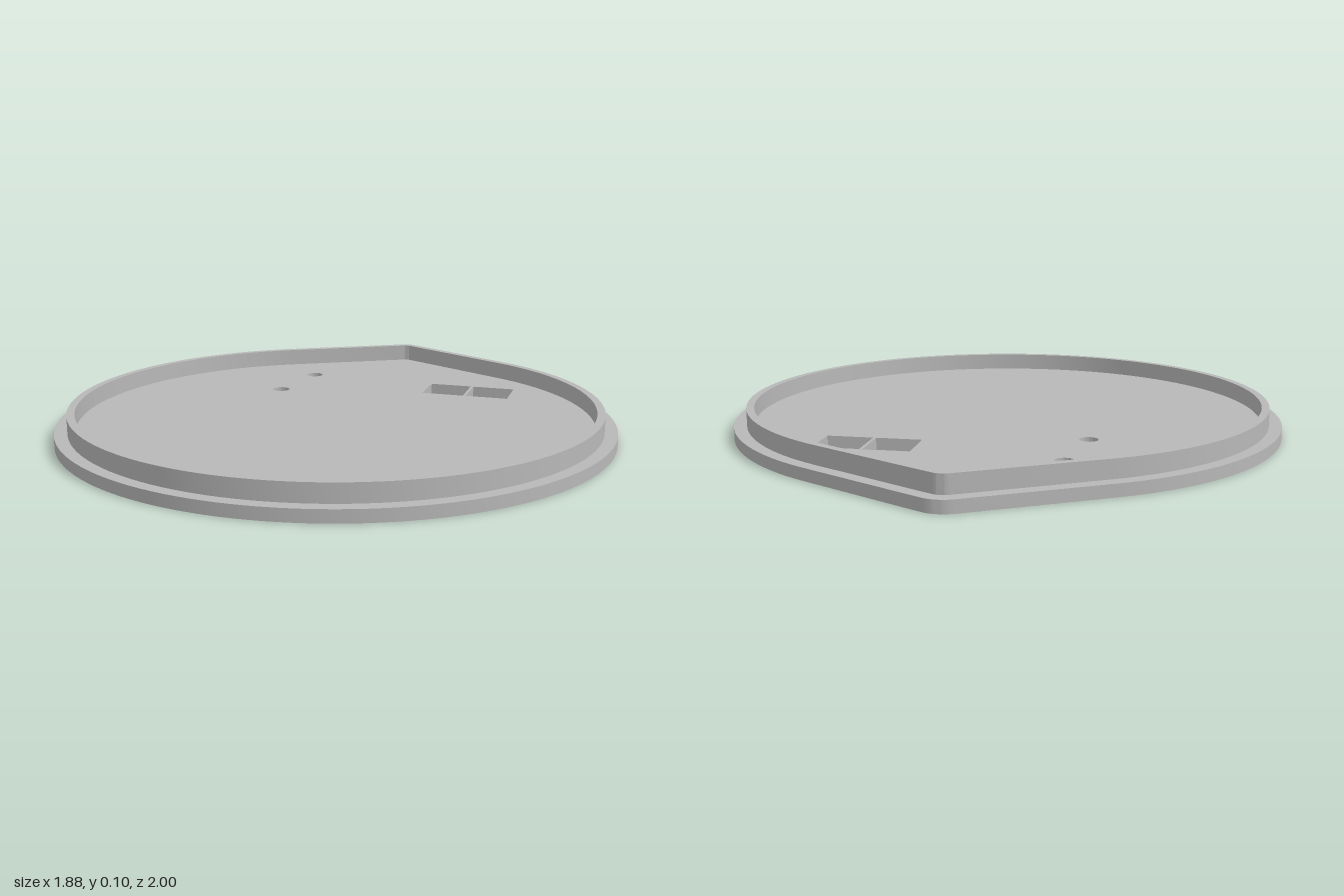
import * as THREE from 'three';
import { toCreasedNormals } from 'three/addons/utils/BufferGeometryUtils.js';

const CENTRE = -0.06;                          // disc centre, in shape coordinates (shape y = -z)
const RADIUS = 0.94, TIP_RADIUS = 0.1;
const SLOPE = THREE.MathUtils.degToRad(29);    // slope of the straight edges beside the tip
const TIP = CENTRE + (RADIUS - TIP_RADIUS) / Math.cos(SLOPE);

// Teardrop outline, moved inwards by inset: a big arc and a small tip arc joined by tangents
function outline(inset, PathType = THREE.Shape) {
  const points = [];
  const arc = (y, r, from, to, steps) => {
    for (let i = 0; i <= steps; i++) {
      const a = from + (to - from) * i / steps;
      points.push(new THREE.Vector2(r * Math.cos(a), y + r * Math.sin(a)));
    }
  };
  const right = Math.PI / 2 - SLOPE, left = Math.PI / 2 + SLOPE;
  arc(TIP, TIP_RADIUS - inset, right, left, 12);
  arc(CENTRE, RADIUS - inset, left, right + Math.PI * 2, 120);
  return new PathType(points);
}

function rectHole(x0, x1, z0, z1) {
  return new THREE.Path([[x0, -z0], [x1, -z0], [x1, -z1], [x0, -z1]].map(p => new THREE.Vector2(...p)));
}

function roundHole(x, z, r) {
  return new THREE.Path().absarc(x, -z, r, 0, Math.PI * 2);
}

// Upright slab from a plan shape
function slab(name, shape, y, height, material) {
  const raw = new THREE.ExtrudeGeometry(shape, { depth: height, bevelEnabled: false, curveSegments: 16 });
  raw.rotateX(-Math.PI / 2);
  const mesh = new THREE.Mesh(toCreasedNormals(raw, Math.PI / 6), material);
  mesh.name = name;
  mesh.position.y = y;
  return mesh;
}

export function createModel() {
  const group = new THREE.Group();
  group.name = 'teardropLid';
  const grey = new THREE.MeshStandardMaterial({ color: 0xb8b8b8 });
  grey.name = 'grey plastic';

  // Base plate with two square windows and two screw holes
  const plate = outline(0);
  plate.holes.push(
    rectHole(0.2, 0.352, -0.526, -0.373),
    rectHole(0.362, 0.515, -0.526, -0.373),
    roundHole(-0.28, -0.543, 0.031),
    roundHole(-0.323, -0.272, 0.031)
  );
  group.add(slab('basePlate', plate, 0, 0.04, grey));

  // Raised lip, set in from the plate edge
  const lip = outline(0.043);
  lip.holes.push(outline(0.069, THREE.Path));
  group.add(slab('lip', lip, 0.04, 0.06, grey));

  return group;
}
